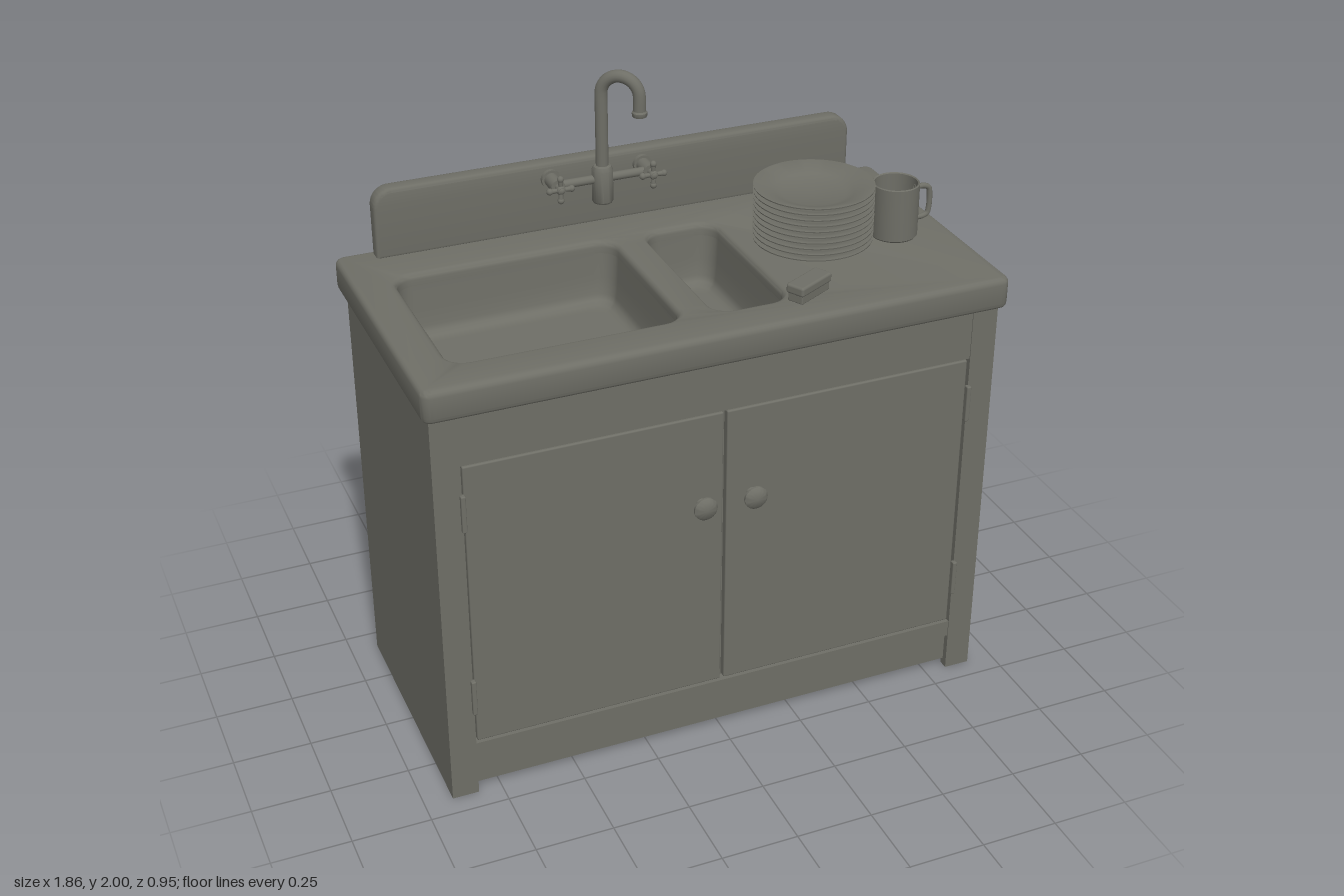
import * as THREE from 'three';
import { toCreasedNormals } from 'three/addons/utils/BufferGeometryUtils.js';
import { RoundedBoxGeometry } from 'three/addons/geometries/RoundedBoxGeometry.js';

const grey = new THREE.MeshStandardMaterial({ color: 0x6e6e66, side: THREE.DoubleSide });
grey.name = 'warm grey';

const V = (x, y, z) => new THREE.Vector3(x, y, z);

function add(parent, name, geometry, x = 0, y = 0, z = 0) {
  const mesh = new THREE.Mesh(geometry, grey);
  mesh.name = name;
  mesh.position.set(x, y, z);
  parent.add(mesh);
  return mesh;
}

function group(parent, name, x = 0, y = 0, z = 0) {
  const g = new THREE.Group();
  g.name = name;
  g.position.set(x, y, z);
  parent.add(g);
  return g;
}

// Box given by its limits
function box(parent, name, x0, x1, y0, y1, z0, z1, r = 0) {
  const size = [x1 - x0, y1 - y0, z1 - z0];
  const geo = r ? new RoundedBoxGeometry(...size, 3, r) : new THREE.BoxGeometry(...size);
  return add(parent, name, geo, (x0 + x1) / 2, (y0 + y1) / 2, (z0 + z1) / 2);
}

// Cylinder along z
function rodZ(parent, name, r, z0, z1, x, y) {
  const geo = new THREE.CylinderGeometry(r, r, z1 - z0, 20).rotateX(Math.PI / 2);
  return add(parent, name, geo, x, y, (z0 + z1) / 2);
}

const lathe = (points, seg = 40) =>
  toCreasedNormals(new THREE.LatheGeometry(points.map(p => new THREE.Vector2(...p)), seg), 0.6);

// Outline points of a rounded rectangle, counter-clockwise
function outline(x0, x1, y0, y1, r, steps = 6) {
  const pts = [];
  const centres = [[x1 - r, y1 - r], [x0 + r, y1 - r], [x0 + r, y0 + r], [x1 - r, y0 + r]];
  centres.forEach(([cx, cy], c) => {
    for (let i = 0; i <= steps; i++) {
      const a = (c + i / steps) * Math.PI / 2;
      pts.push(new THREE.Vector2(cx + r * Math.cos(a), cy + r * Math.sin(a)));
    }
  });
  return pts;
}

// Basin lofted from shrinking rounded outlines, closed by a floor
function basinGeometry(x0, x1, z0, z1) {
  const levels = [[0, 1.42], [0.005, 1.34], [0.012, 1.285], [0.02, 1.268], [0.035, 1.257], [0.055, 1.254], [0.07, 1.254]];
  const pos = [], index = [];
  let n = 0;
  levels.forEach(([inset, y], l) => {
    const ring = outline(x0 + inset, x1 - inset, z0 + inset, z1 - inset, Math.max(0.06 - inset * 0.3, 0.03));
    n = ring.length;
    ring.forEach(p => pos.push(p.x, y, p.y));
    if (l === 0) return;
    for (let i = 0; i < n; i++) {
      const a = (l - 1) * n + i, b = (l - 1) * n + (i + 1) % n;
      index.push(a, b, a + n, b, b + n, a + n);
    }
  });
  const centre = pos.length / 3, last = centre - n;
  pos.push((x0 + x1) / 2, 1.254, (z0 + z1) / 2);
  for (let i = 0; i < n; i++) index.push(last + i, last + (i + 1) % n, centre);
  const geo = new THREE.BufferGeometry();
  geo.setAttribute('position', new THREE.Float32BufferAttribute(pos, 3));
  geo.setIndex(index);
  geo.computeVertexNormals();
  return geo;
}

function buildCabinet(root) {
  const g = group(root, 'cabinet');
  for (const s of [-1, 1]) {
    const span = (a, b) => s > 0 ? [a, b] : [-b, -a];
    box(g, 'sidePanel', ...span(0.885, 0.91), 0, 1.36, -0.425, 0.405);
    box(g, 'frontStile', ...span(0.825, 0.91), 0, 1.36, 0.4, 0.432);
    box(g, 'door', ...span(0.006, 0.819), 0.196, 1.18, 0.4, 0.428, 0.005);
    for (const y of [0.37, 1.03]) box(g, 'hinge', ...span(0.817, 0.832), y - 0.062, y + 0.062, 0.425, 0.445, 0.004);
    // Round knob on a narrow neck
    const knob = lathe([[0.018, 0], [0.014, 0.018], [0.03, 0.022], [0.038, 0.03], [0.038, 0.037], [0.028, 0.046], [0, 0.051]], 28);
    add(g, 'knob', knob.rotateX(Math.PI / 2), 0.007 + s * 0.083, 0.876, 0.427);
  }
  box(g, 'topRail', -0.825, 0.825, 1.186, 1.36, 0.4, 0.429);
  box(g, 'bottomRail', -0.825, 0.825, 0.13, 0.188, 0.39, 0.429);
  box(g, 'kickBoard', -0.825, 0.825, 0.025, 0.126, 0.385, 0.412);
  box(g, 'doorBacking', -0.825, 0.825, 0.13, 1.25, 0.385, 0.4);
  box(g, 'backPanel', -0.886, 0.886, 0.035, 1.36, -0.422, -0.402);
  box(g, 'cabinetFloor', -0.886, 0.886, 0.13, 0.15, -0.41, 0.4);
}

function buildCounter(root) {
  const g = group(root, 'counter');
  const basins = [[-0.805, -0.092, -0.26, 0.32], [0.013, 0.25, -0.26, 0.32]];
  const shape = new THREE.Shape(outline(-0.932, 0.932, -0.463, 0.475, 0.03));
  basins.forEach(([x0, x1, z0, z1]) =>
    shape.holes.push(new THREE.Path(outline(x0, x1, -z1, -z0, 0.06).reverse())));
  const b = 0.02;
  const slab = new THREE.ExtrudeGeometry(shape, {
    depth: 0.105 - 2 * b, bevelThickness: b, bevelSize: b, bevelOffset: -b, bevelSegments: 4,
  }).rotateX(-Math.PI / 2);
  // The bevel offset moves the holes outward, so the basins follow the widened edge
  add(g, 'countertop', toCreasedNormals(slab, 0.6), 0, 1.355 + b, 0);
  basins.forEach(r => add(g, 'basin', basinGeometry(...r)));

  // Backsplash with rounded upper corners
  const s = new THREE.Shape();
  s.moveTo(-0.81, 1.455);
  s.lineTo(0.807, 1.455);
  s.lineTo(0.807, 1.625);
  s.absarc(0.747, 1.625, 0.06, 0, Math.PI / 2);
  s.lineTo(-0.75, 1.685);
  s.absarc(-0.75, 1.625, 0.06, Math.PI / 2, Math.PI);
  s.closePath();
  const splash = new THREE.ExtrudeGeometry(s, {
    depth: 0.034, bevelThickness: 0.012, bevelSize: 0.012, bevelOffset: -0.012, bevelSegments: 3, curveSegments: 8,
  });
  add(g, 'backsplash', toCreasedNormals(splash, 0.6), 0, 0, -0.45);
}

function buildFaucet(root) {
  const g = group(root, 'faucet');
  const x = -0.087, y = 1.635, z = -0.343;
  add(g, 'spoutBody', lathe([[0, 0], [0.03, 0], [0.034, 0.006], [0.034, 0.11], [0.028, 0.122], [0.02, 0.125]], 24), x, 1.555, z);
  // Gooseneck turned toward the right-hand basin
  const dx = 0.77, dz = 0.64, r = 0.062;
  const pts = [V(x, 1.66, z), V(x, 1.75, z), V(x, 1.85, z)];
  for (let i = 0; i <= 10; i++) {
    const a = Math.PI * i / 10, d = r - r * Math.cos(a);
    pts.push(V(x + dx * d, 1.918 + r * Math.sin(a), z + dz * d));
  }
  const tip = V(x + dx * 2 * r, 1.87, z + dz * 2 * r);
  pts.push(tip);
  add(g, 'spout', new THREE.TubeGeometry(new THREE.CatmullRomCurve3(pts), 70, 0.02, 16));
  add(g, 'spoutTip', lathe([[0, 0], [0.022, 0], [0.024, 0.004], [0.024, 0.014], [0.019, 0.02]], 20), tip.x, 1.856, tip.z);
  add(g, 'crossPipe', new THREE.CylinderGeometry(0.014, 0.014, 0.31, 16).rotateZ(Math.PI / 2), -0.085, y, z);
  for (const hx of [-0.24, 0.07]) {
    const v = group(g, 'valve', hx, y, 0);
    rodZ(v, 'valveFlange', 0.031, -0.405, -0.39, 0, 0);
    rodZ(v, 'valveBody', 0.023, -0.39, -0.328, 0, 0);
    rodZ(v, 'valveStem', 0.011, -0.33, -0.292, 0, 0);
    add(v, 'handleHub', new THREE.SphereGeometry(0.015, 16, 10), 0, 0, -0.303);
    // Four spokes with round ends
    for (let i = 0; i < 4; i++) {
      const a = i * Math.PI / 2, c = Math.cos(a), s = Math.sin(a);
      const spoke = add(v, 'handleSpoke', new THREE.CylinderGeometry(0.009, 0.006, 0.036, 10), c * 0.018, s * 0.018, -0.305);
      spoke.rotation.z = a - Math.PI / 2;
      add(v, 'handleEnd', new THREE.SphereGeometry(0.011, 12, 8), c * 0.036, s * 0.036, -0.305);
    }
  }
}

function buildDishes(root) {
  const plates = group(root, 'plateStack', 0.472, 1.46, 0.022);
  const plate = lathe([[0, 0], [0.1, 0], [0.125, 0.008], [0.188, 0.034], [0.189, 0.038], [0.184, 0.039], [0.125, 0.018], [0.1, 0.01], [0, 0.008]], 48);
  for (let i = 0; i < 10; i++) add(plates, 'plate', plate, 0, i * 0.019, 0);

  const mug = group(root, 'mug', 0.746, 1.46, 0.045);
  add(mug, 'mugCup', lathe([[0, 0], [0.071, 0], [0.075, 0.005], [0.075, 0.176], [0.072, 0.179], [0.068, 0.176], [0.068, 0.014], [0, 0.012]], 36));
  const handle = new THREE.CatmullRomCurve3([
    V(0.066, 0.148, 0), V(0.1, 0.148, 0), V(0.117, 0.14, 0), V(0.122, 0.122, 0), V(0.122, 0.07, 0),
    V(0.117, 0.052, 0), V(0.1, 0.044, 0), V(0.066, 0.044, 0),
  ]);
  add(mug, 'mugHandle', new THREE.TubeGeometry(handle, 40, 0.009, 10));

  // Two-layer sponge lying at an angle
  const sponge = group(root, 'sponge', 0.312, 1.46, 0.326);
  sponge.rotation.y = 0.49;
  box(sponge, 'spongeBase', -0.069, 0.069, 0, 0.03, -0.027, 0.027, 0.004);
  box(sponge, 'spongeTop', -0.074, 0.074, 0.026, 0.057, -0.032, 0.032, 0.008);
}

export function createModel() {
  const root = new THREE.Group();
  root.name = 'kitchenSink';
  buildCabinet(root);
  buildCounter(root);
  buildFaucet(root);
  buildDishes(root);
  return root;
}
